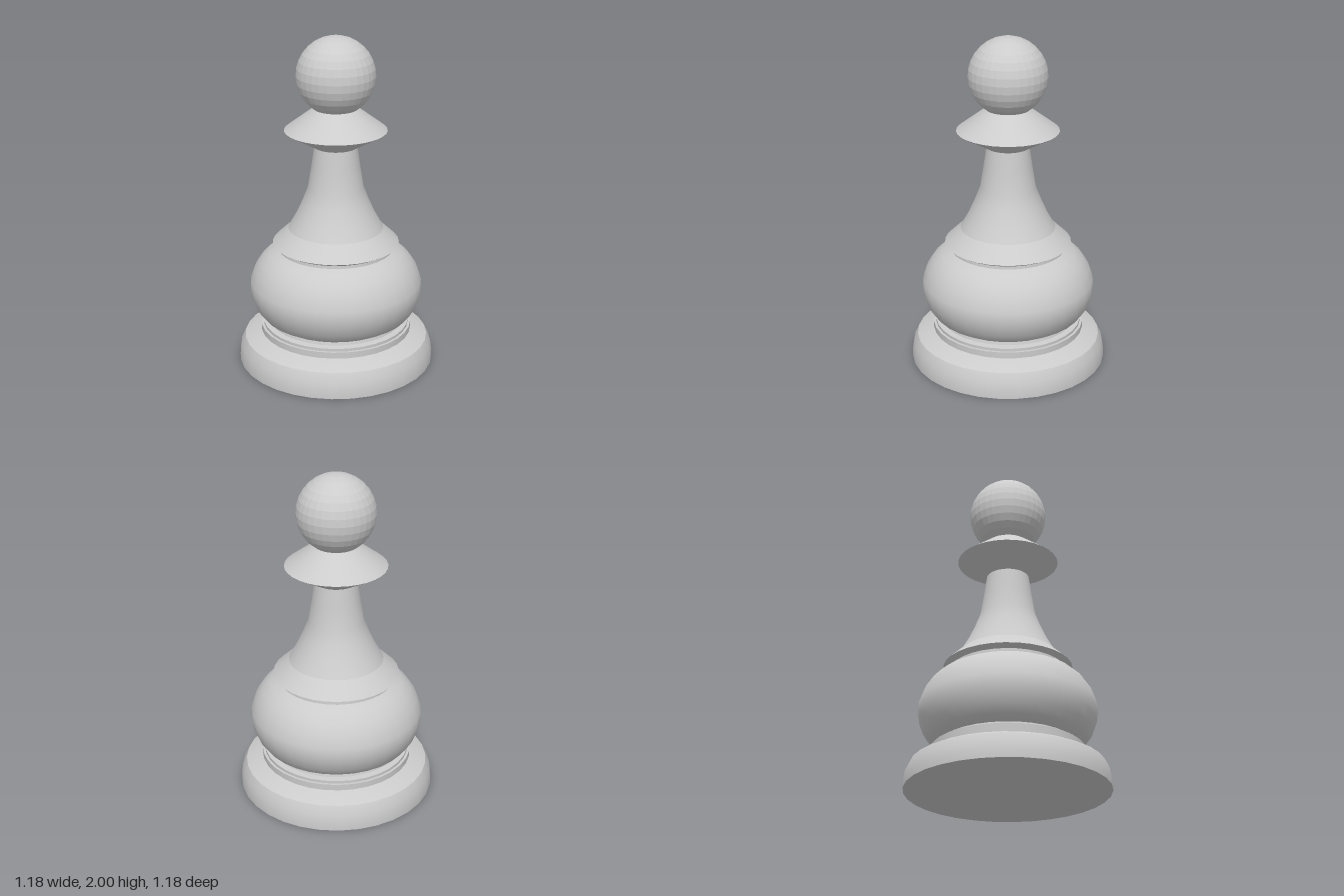
import * as THREE from 'three';

const SIDES = 32;

export function createModel() {
  const group = new THREE.Group();
  const material = new THREE.MeshStandardMaterial({ color: 0xcccccc, side: THREE.DoubleSide });

  // Turned part: each profile runs bottom to top and is smooth; hard edges fall between profiles
  function turned(name, ...profiles) {
    const part = new THREE.Group();
    part.name = name;
    for (const profile of profiles) {
      const points = profile.map(([r, y]) => new THREE.Vector2(r, y));
      const mesh = new THREE.Mesh(new THREE.LatheGeometry(points, SIDES), material);
      mesh.name = name + 'Surface';
      part.add(mesh);
    }
    group.add(part);
  }

  // Foot with closed underside, rounded wall and sloping top
  turned('foot',
    [[0, 0], [0.59, 0]],
    [[0.59, 0], [0.59, 0.04], [0.58, 0.1], [0.555, 0.15]],
    [[0.555, 0.15], [0.515, 0.17], [0.455, 0.192]]);

  // Stepped ring between foot and bulb
  turned('baseRing',
    [[0.455, 0.192], [0.455, 0.23]],
    [[0.455, 0.23], [0.44, 0.23]],
    [[0.44, 0.23], [0.44, 0.247]],
    [[0.44, 0.247], [0.405, 0.252]],
    [[0.405, 0.252], [0.4, 0.27]]);

  // Bulging lower body
  turned('bulb',
    [[0.4, 0.27], [0.45, 0.3], [0.487, 0.35], [0.51, 0.41], [0.518, 0.46], [0.515, 0.51],
      [0.49, 0.58], [0.45, 0.64], [0.4, 0.685], [0.345, 0.712]]);

  // Flared skirt over a narrow groove
  turned('skirt',
    [[0.345, 0.712], [0.343, 0.73]],
    [[0.343, 0.73], [0.378, 0.75]],
    [[0.378, 0.75], [0.283, 0.84]]);

  // Tapering stem
  turned('stem',
    [[0.283, 0.84], [0.235, 0.925], [0.197, 1.01], [0.165, 1.095], [0.145, 1.22], [0.127, 1.345]]);

  // Sharp-edged collar
  turned('collar',
    [[0.127, 1.345], [0.302, 1.445]],
    [[0.302, 1.445], [0.13, 1.575]],
    [[0.13, 1.575], [0, 1.575]]);

  // Faceted ball head
  const head = new THREE.Mesh(
    new THREE.SphereGeometry(0.232, SIDES, 16),
    new THREE.MeshStandardMaterial({ color: 0xcccccc, flatShading: true }));
  head.name = 'head';
  head.position.y = 1.768;
  group.add(head);

  return group;
}
